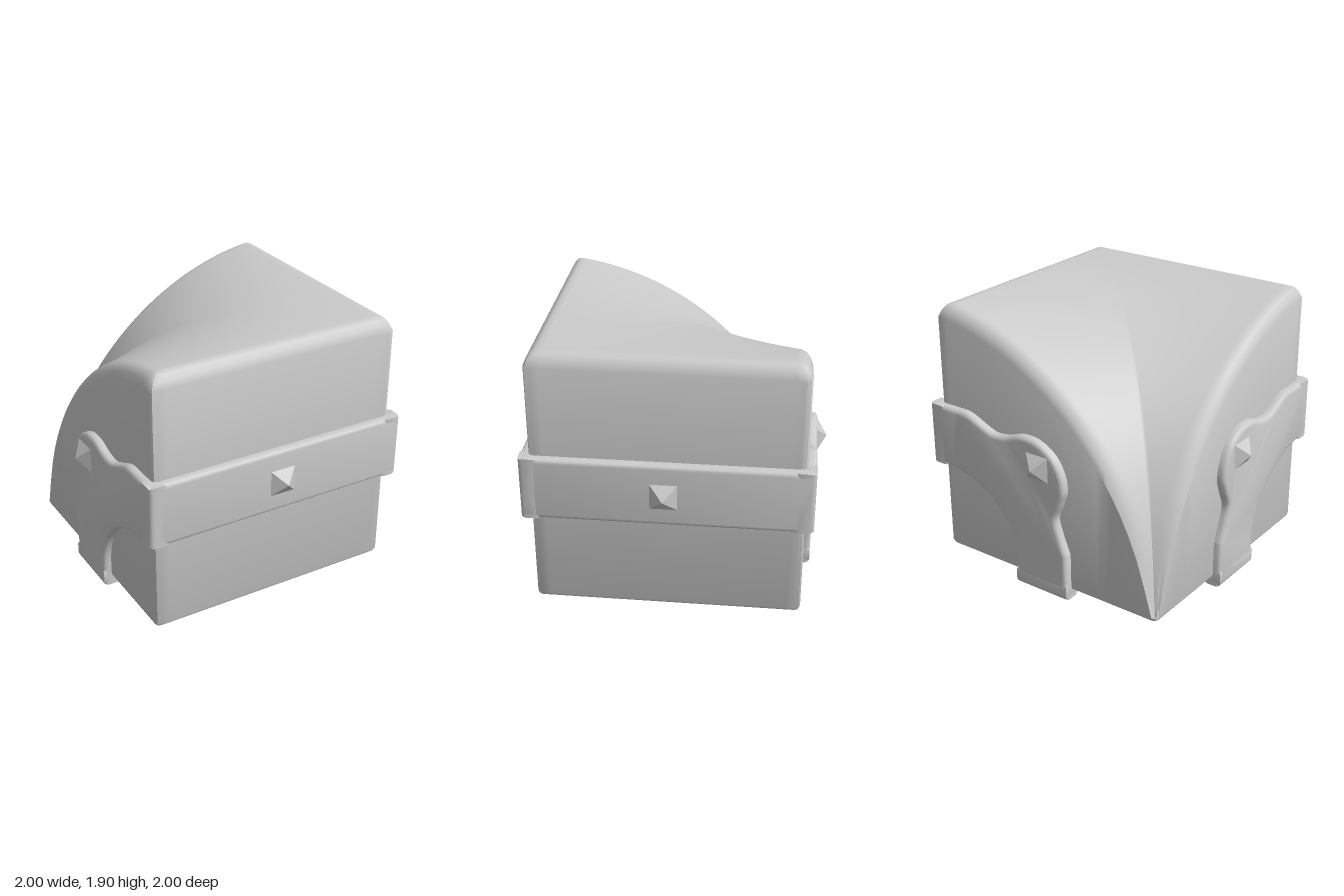
import * as THREE from 'three';
import { toCreasedNormals } from 'three/addons/utils/BufferGeometryUtils.js';

const grey = new THREE.MeshStandardMaterial({ color: 0xcccccc });
const faceted = new THREE.MeshStandardMaterial({ color: 0xcccccc, flatShading: true });

// Height of the swooping top: full at the front and right, falling to the back left corner
function topHeight(x, z) {
  const u = THREE.MathUtils.clamp((0.82 - x) / 1.66, 0, 1);
  const v = THREE.MathUtils.clamp((0.82 - z) / 1.66, 0, 1);
  const arc = t => Math.sqrt(Math.max(0, 1.345 - (t + 0.15) ** 2)) - 0.15;
  const drop = (1 - arc(Math.min(u, v))) * Math.max(u, v) ** 1.4;
  return 0.15 + 1.75 * (1 - drop);
}

// Square loop with softened corners; height is a function of x and z
function squareLoop(half, r, height, n = 28) {
  const pts = [];
  const c = half - r;
  for (let k = 0; k < 4; k++) {
    const side = [];
    for (let i = 0; i <= n; i++) side.push([c * (2 * i / n - 1), half]);
    side.push([c + r * Math.SQRT1_2, c + r * Math.SQRT1_2]);
    for (let [x, z] of side) {
      for (let q = 0; q < k; q++) [x, z] = [z, -x];
      pts.push([x, height(x, z), z]);
    }
  }
  return pts;
}

// Block lofted from the underside, up the walls, over the bevel and in across the top
function blockGeometry() {
  const lowered = d => (x, z) => Math.max(0.16, topHeight(x, z) - d);
  const loops = [
    squareLoop(0, 0, () => 0.13),
    squareLoop(0.845, 0.02, () => 0.13),
    squareLoop(0.865, 0.03, () => 0.138),
    squareLoop(0.873, 0.035, () => 0.158),
    squareLoop(0.873, 0.035, lowered(0.09)),
    squareLoop(0.855, 0.035, lowered(0.045)),
    squareLoop(0.83, 0.03, lowered(0.014)),
  ];
  const rings = 24;
  for (let k = rings; k >= 0; k--) loops.push(squareLoop(0.8 * k / rings, 0.02 * k / rings, lowered(0)));

  const n = loops[0].length;
  const index = [];
  for (let j = 0; j < loops.length - 1; j++) {
    for (let i = 0; i < n; i++) {
      const a = j * n + i, b = j * n + (i + 1) % n;
      index.push(a, b, b + n, a, b + n, a + n);
    }
  }
  const geo = new THREE.BufferGeometry();
  geo.setAttribute('position', new THREE.Float32BufferAttribute(loops.flat(2), 3));
  geo.setIndex(index);
  return toCreasedNormals(geo, 0.6);
}

// Rounded-edge slab whose outer face lies at z = 0.93
function slab(shape) {
  const b = 0.03;
  const geo = new THREE.ExtrudeGeometry(shape, {
    depth: 0.07, bevelEnabled: true, bevelThickness: b, bevelSize: b,
    bevelOffset: -b, bevelSegments: 3, curveSegments: 16,
  });
  geo.translate(0, 0, 0.83);
  return toCreasedNormals(geo, 0.7);
}

function polygon(points) {
  return new THREE.Shape(points.map(p => new THREE.Vector2(...p)));
}

// Strap that runs in from one side, turns and goes down; s mirrors it
function turningStrap(s) {
  const wavy = [[0.6, 1.205], [0.47, 1.15], [0.38, 1.12], [0.28, 1.13], [0.15, 1.17], [0.02, 1.16],
    [-0.1, 1.09], [-0.17, 0.98], [-0.19, 0.86], [-0.16, 0.76], [-0.12, 0.65], [-0.15, 0.53], [-0.2, 0.4]];
  const shape = new THREE.Shape();
  shape.moveTo(s * 0.93, 0.78);
  shape.lineTo(s * 0.93, 1.21);
  shape.lineTo(s * 0.7, 1.21);
  shape.splineThru(wavy.map(([x, y]) => new THREE.Vector2(s * x, y)));
  shape.lineTo(s * -0.2, 0.07);
  shape.lineTo(s * 0.22, 0.07);
  shape.lineTo(s * 0.22, 0.25);
  shape.bezierCurveTo(s * 0.22, 0.55, s * 0.5, 0.77, s * 0.82, 0.78);
  return shape;
}

export function createModel() {
  const model = new THREE.Group();
  const add = (parent, name, geo, mat = grey) => {
    const mesh = new THREE.Mesh(geo, mat);
    mesh.name = name;
    parent.add(mesh);
    return mesh;
  };

  add(model, 'block', blockGeometry());

  const band = polygon([[-0.93, 0.78], [0.93, 0.78], [0.93, 1.21], [-0.93, 1.21]]);
  const corner = polygon([[-0.93, -0.2], [-0.2, -0.2], [-0.2, -0.93], [0.22, -0.93], [0.22, 0.22], [-0.93, 0.22]]);
  const spike = new THREE.ConeGeometry(0.1 * Math.SQRT2, 0.08, 4);
  spike.rotateY(Math.PI / 4);
  spike.rotateX(Math.PI / 2);

  // Each side carries a strap and a pyramid spike: [name, shape, turn, spike offset]
  const sides = [
    ['front', band, 0, 0.015],
    ['right', band, Math.PI / 2, -0.015],
    ['back', turningStrap(-1), Math.PI, -0.015],
    ['left', turningStrap(1), -Math.PI / 2, 0.015],
  ];
  for (const [name, shape, turn, offset] of sides) {
    const side = new THREE.Group();
    side.name = name + 'Side';
    side.rotation.y = turn;
    add(side, name + 'Strap', slab(shape));
    add(side, name + 'Spike', spike, faceted).position.set(offset, 0.99, 0.96);
    model.add(side);
  }

  // Underside: the two straps meet in an L
  const under = new THREE.Group();
  under.name = 'underside';
  under.rotation.x = Math.PI / 2;
  under.position.y = 1;
  add(under, 'bottomStrap', slab(corner));
  add(under, 'bottomSpike', spike, faceted).position.set(0.015, 0.015, 0.96);
  model.add(under);

  return model;
}
